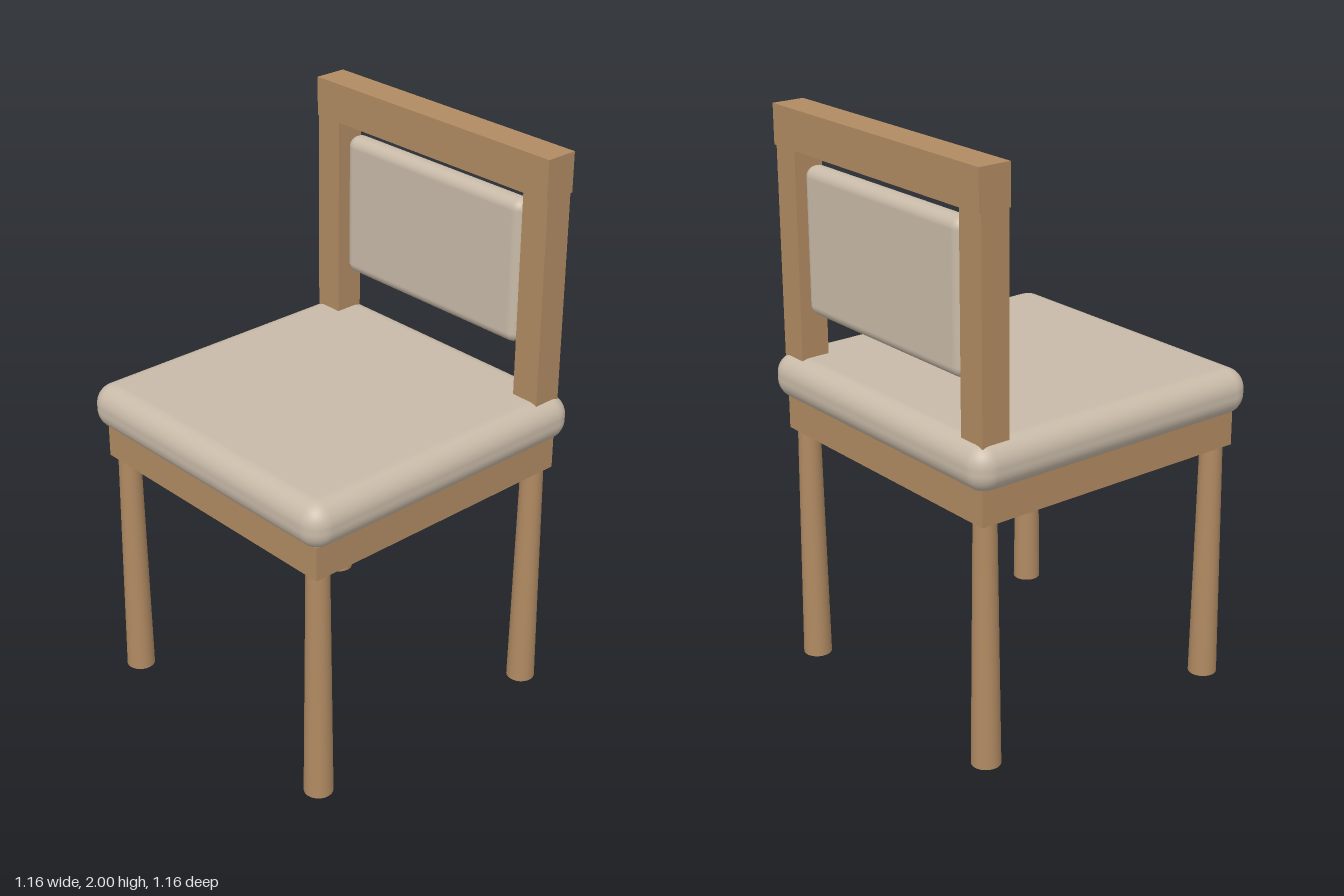
import * as THREE from 'three';
import { RoundedBoxGeometry } from 'three/addons/geometries/RoundedBoxGeometry.js';

const wood = new THREE.MeshStandardMaterial({ color: 0xb08a62 });
const fabric = new THREE.MeshStandardMaterial({ color: 0xc8baa8 });

export function createModel() {
  const chair = new THREE.Group();
  chair.name = 'chair';

  const add = (name, geometry, material, x, y, z) => {
    const mesh = new THREE.Mesh(geometry, material);
    mesh.name = name;
    mesh.position.set(x, y, z);
    chair.add(mesh);
  };

  const backZ = -0.485;

  // Seat: wooden apron with a padded cushion on top
  add('seatFrame', new THREE.BoxGeometry(1.07, 0.12, 1.07), wood, 0, 0.925, 0);
  add('seatCushion', new RoundedBoxGeometry(1.16, 0.162, 1.16, 8, 0.072), fabric, 0, 1.06, 0);

  // Legs taper towards the seat; back posts rise through the cushion
  const legGeometry = new THREE.CylinderGeometry(0.039, 0.05, 0.87, 24);
  const postGeometry = new THREE.BoxGeometry(0.105, 0.885, 0.105);
  for (const [side, x] of [['left', 1], ['right', -1]]) {
    add(side + 'FrontLeg', legGeometry, wood, x * 0.488, 0.435, 0.488);
    add(side + 'BackLeg', legGeometry, wood, x * 0.488, 0.435, -0.488);
    add(side + 'BackPost', postGeometry, wood, x * 0.4875, 1.4275, backZ);
  }

  // Top rail, slightly deeper than the posts
  add('topRail', new THREE.BoxGeometry(1.08, 0.138, 0.118), wood, 0, 1.931, backZ - 0.002);

  // Backrest pad between the posts
  add('backPad', new RoundedBoxGeometry(0.83, 0.51, 0.08, 6, 0.038), fabric, 0, 1.56, backZ);

  return chair;
}
